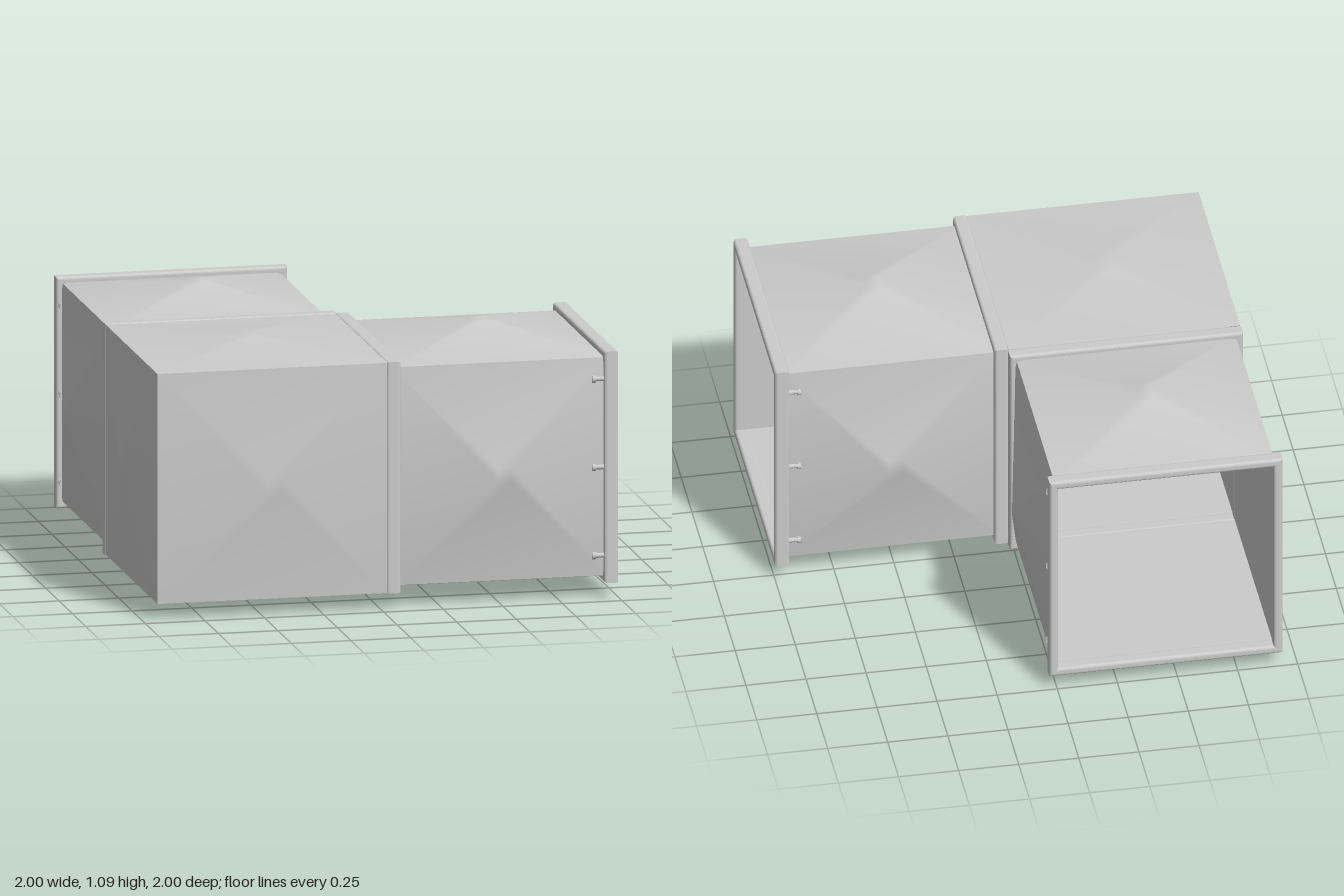
import * as THREE from 'three';

const CY = 0.547;     // height of the duct axis
const OFF = 0.453;    // sideways offset of each arm axis
const INNER = 0.45;   // half width of the bore
const Q = Math.PI / 2;

export function createModel() {
  const grey = new THREE.MeshStandardMaterial({ color: 0xcccccc });
  const thin = new THREE.MeshStandardMaterial({ color: 0xcccccc, side: THREE.DoubleSide });

  function add(parent, name, geometry, material = grey) {
    const mesh = new THREE.Mesh(geometry, material);
    mesh.name = name;
    parent.add(mesh);
    return mesh;
  }

  // Sheet in the xy plane, rising towards +z to a small blunt peak
  function panel(w, h, bulge, tip = 0.03) {
    const corners = [[-1, -1], [1, -1], [1, 1], [-1, 1]];
    const pos = [];
    for (const [x, y] of corners) pos.push(x * w / 2, y * h / 2, 0);
    for (const [x, y] of corners) pos.push(x * tip, y * tip, bulge);
    const index = [4, 5, 6, 4, 6, 7];
    for (let i = 0; i < 4; i++) {
      const j = (i + 1) % 4;
      index.push(i, j, j + 4, i, j + 4, i + 4);
    }
    const g = new THREE.BufferGeometry();
    g.setAttribute('position', new THREE.Float32BufferAttribute(pos, 3));
    g.setIndex(index);
    g.computeVertexNormals();
    return g;
  }

  function square(Type, r) {
    return new Type([[-r, -r], [r, -r], [r, r], [-r, r]].map(p => new THREE.Vector2(...p)));
  }

  // Rounded square flange, 0.06 thick, facing along x
  const shape = square(THREE.Shape, 0.473);
  shape.holes.push(square(THREE.Path, INNER + 0.01));
  const flangeGeo = new THREE.ExtrudeGeometry(shape, {
    depth: 0.036, bevelThickness: 0.012, bevelSize: 0.012, bevelSegments: 4,
  }).translate(0, 0, -0.018).rotateY(Q);

  // One straight arm running along +x
  function arm(name) {
    const g = new THREE.Group();
    g.name = name;
    const half = 0.457, x0 = 0.06, x1 = 0.96;
    const wall = panel(x1 - x0, half * 2, 0.09).translate((x0 + x1) / 2, 0, half);
    const lining = new THREE.PlaneGeometry(0.998, INNER * 2).translate(0.494, 0, INNER);
    for (let k = 0; k < 4; k++) {
      add(g, 'bulgedPanel', wall, thin).rotation.x = k * Q;
      add(g, 'lining', lining, thin).rotation.x = k * Q;
    }
    add(g, 'jointFlange', flangeGeo).position.x = 0.057;
    add(g, 'endFlange', flangeGeo).position.x = 0.97;

    // Small bolts behind the end flange on both sides
    const shank = new THREE.CylinderGeometry(0.01, 0.01, 0.05, 10).rotateZ(Q);
    const head = new THREE.CylinderGeometry(0.016, 0.016, 0.014, 10).rotateZ(Q);
    for (const s of [-1, 1]) {
      for (const y of [-0.37, 0, 0.37]) {
        add(g, 'boltShank', shank).position.set(0.92, y, s * 0.467);
        add(g, 'boltHead', head).position.set(0.898, y, s * 0.467);
      }
    }
    return g;
  }

  const model = new THREE.Group();
  model.name = 'ductElbow';

  const sideArm = arm('sideArm');
  sideArm.position.set(0, CY, OFF);
  const backArm = arm('backArm');
  backArm.position.set(-OFF, CY, 0);
  backArm.rotation.y = Q;

  // Corner box, open towards both arms
  const corner = new THREE.Group();
  corner.name = 'corner';
  corner.position.set(-OFF, CY, OFF);
  const half = 0.482;
  const shell = panel(half * 2, half * 2, 0.043).translate(0, 0, half);
  const lining = new THREE.PlaneGeometry(INNER * 2, INNER * 2).translate(0, 0, INNER);
  for (const [x, y] of [[0, 0], [0, -Q], [-Q, 0], [Q, 0]]) {
    add(corner, 'cornerPanel', shell, thin).rotation.set(x, y, 0);
    add(corner, 'cornerLining', lining, thin).rotation.set(x, y, 0);
  }
  // Post closing the inside of the bend
  add(corner, 'innerPost', new THREE.BoxGeometry(0.032, half * 2, 0.032))
    .position.set(0.466, 0, -0.466);

  model.add(sideArm, backArm, corner);
  return model;
}
